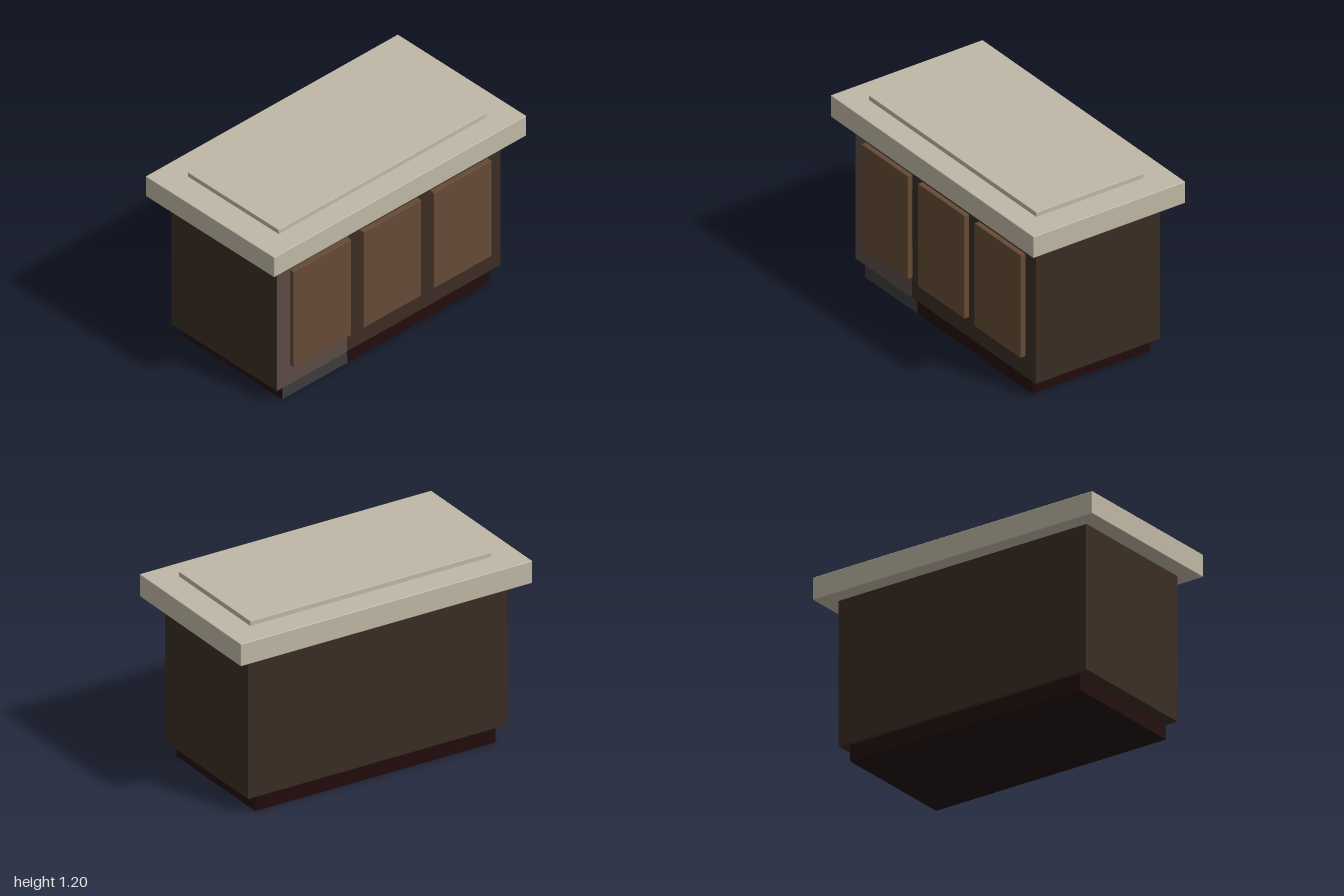
import * as THREE from 'three';
import { RoundedBoxGeometry } from 'three/addons/geometries/RoundedBoxGeometry.js';

const material = (name, color, side = THREE.FrontSide) => {
  const m = new THREE.MeshStandardMaterial({ color, side });
  m.name = name;
  return m;
};

export function createModel() {
  const stone = material('stone', 0xbfb7a5);
  const darkWood = material('dark wood', 0x3a2c22);
  const doorWood = material('door wood', 0x654a35);
  const paleWood = material('pale wood', 0x5a4b45, THREE.DoubleSide);
  const plinthRed = material('plinth red', 0x220c0c);
  const plinthGrey = material('plinth grey', 0x3b3b3b, THREE.DoubleSide);

  const model = new THREE.Group();
  model.name = 'kitchenIsland';

  const add = (name, geometry, mat) => {
    const mesh = new THREE.Mesh(geometry, mat);
    mesh.name = name;
    model.add(mesh);
    return mesh;
  };

  // Box given by its limits on each axis, with optional eased edges
  const block = (name, mat, [x0, x1], [y0, y1], [z0, z1], ease = 0) => {
    const size = [x1 - x0, y1 - y0, z1 - z0];
    const geometry = ease
      ? new RoundedBoxGeometry(...size, 2, ease)
      : new THREE.BoxGeometry(...size);
    add(name, geometry, mat).position.set((x0 + x1) / 2, (y0 + y1) / 2, (z0 + z1) / 2);
  };

  // Flat front-facing panel with a slightly slanted inner edge
  const panel = (name, mat, left, bottomRight, topRight, y0, y1, z) => {
    const shape = new THREE.Shape([
      new THREE.Vector2(left, y0),
      new THREE.Vector2(bottomRight, y0),
      new THREE.Vector2(topRight, y1),
      new THREE.Vector2(left, y1),
    ]);
    add(name, new THREE.ShapeGeometry(shape), mat).position.z = z;
  };

  // Recessed base and cabinet
  block('plinth', plinthRed, [-0.823, 0.823], [0, 0.105], [-0.42, 0.42]);
  block('cabinet', darkWood, [-0.888, 0.888], [0.103, 1.035], [-0.443, 0.443], 0.003);

  // Differently coloured end of the front
  panel('plinthFrontPanel', plinthGrey, -0.823, -0.305, -0.312, 0, 0.103, 0.422);
  panel('cabinetFrontPanel', paleWood, -0.887, -0.332, -0.32, 0.104, 1.03, 0.445);

  // Three front doors
  [-0.557, 0, 0.556].forEach((x, i) => {
    block(`door${i + 1}`, doorWood, [x - 0.228, x + 0.228], [0.239, 0.926], [0.44, 0.476], 0.002);
  });

  // Worktop with its raised slab
  block('worktop', stone, [-1, 1], [1.03, 1.174], [-0.541, 0.541], 0.005);
  block('raisedSlab', stone, [-0.825, 0.825], [1.17, 1.204], [-0.37, 0.394], 0.003);

  return model;
}
